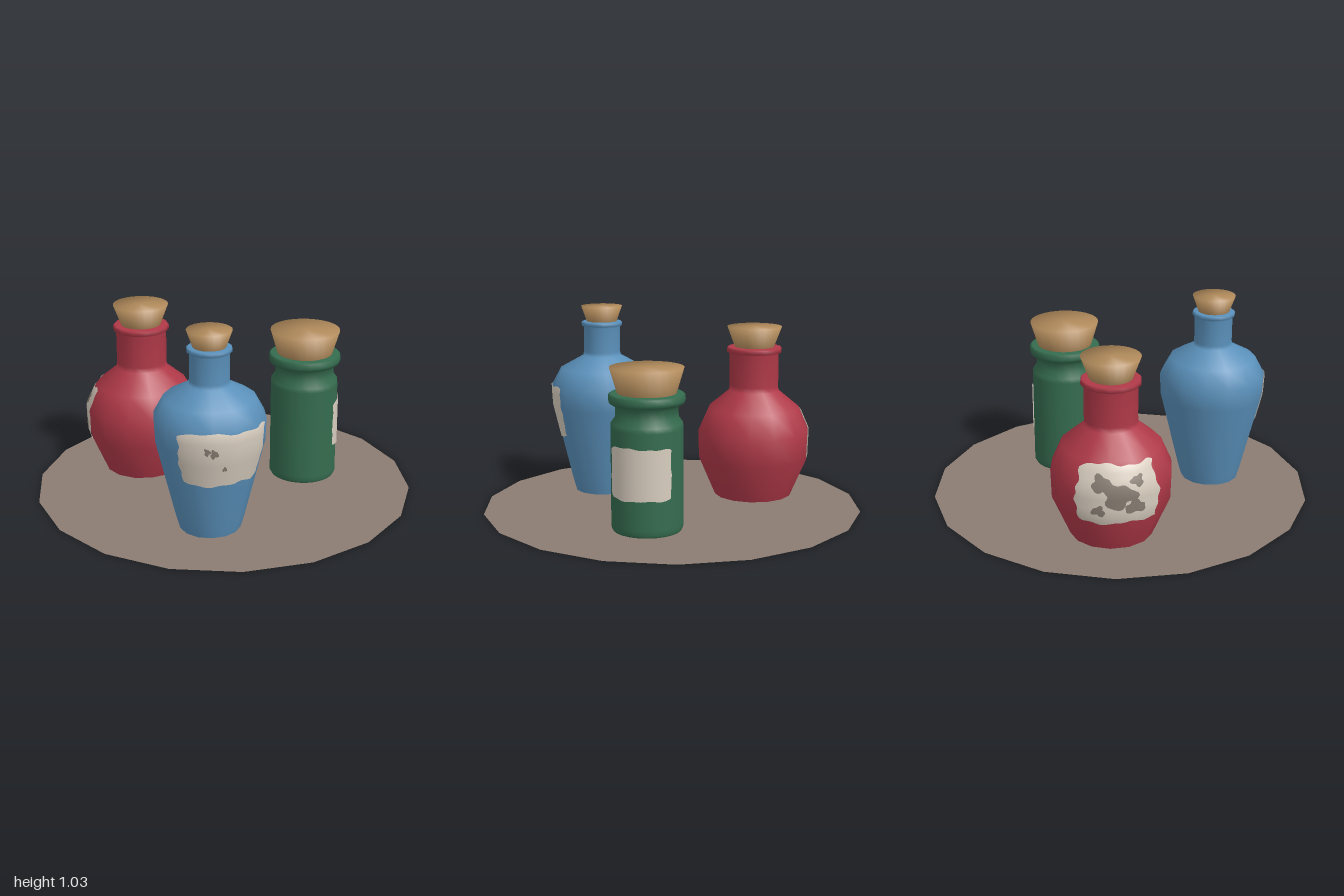
import * as THREE from 'three';

const mat = (name, color) => {
  const m = new THREE.MeshStandardMaterial({ color, side: THREE.DoubleSide });
  m.name = name;
  return m;
};

// Each bottle: lathe profile [radius, y], open at the base, with a flared cork
const BOTTLES = [
  {
    name: 'redFlask', x: -0.505, z: -0.033, sides: 14, phase: Math.PI / 2, colour: 'red',
    profile: [[0.21, 0], [0.3, 0.21], [0.305, 0.36], [0.25, 0.485], [0.136, 0.58], [0.135, 0.61], [0.135, 0.785],
      [0.15, 0.793], [0.15, 0.813], [0.143, 0.82], [0.1, 0.82]],
    cork: [0.105, 0.815, 0.148, 0.93],
    label: { from: -2.14, to: -0.72, bottom: 0.18, top: 0.475, rag: 0.012 },
    stains: [[-1.42, 0.33, 0.3, 0.075], [-1.7, 0.39, 0.2, 0.045], [-1.15, 0.27, 0.2, 0.04], [-1.75, 0.25, 0.13, 0.03], [-1.1, 0.4, 0.13, 0.03]],
  },
  {
    name: 'blueVial', x: 0.152, z: 0.49, sides: 14, phase: 0.05, colour: 'blue',
    profile: [[0.155, 0], [0.175, 0.07], [0.274, 0.48], [0.28, 0.595], [0.228, 0.69], [0.105, 0.758], [0.1, 0.78],
      [0.1, 0.915], [0.112, 0.925], [0.112, 0.94], [0.105, 0.946], [0.075, 0.946]],
    cork: [0.08, 0.94, 0.112, 1.03],
    label: { from: -0.14, to: 1.68, bottom: 0.32, top: 0.6, rag: 0.008 },
    stains: [[0.4, 0.515, 0.06, 0.022], [0.52, 0.505, 0.08, 0.025], [0.72, 0.415, 0.05, 0.015]],
  },
  {
    name: 'greenJar', x: 0.335, z: -0.312, sides: 24, phase: 0, colour: 'green',
    profile: [[0.172, 0], [0.18, 0.015], [0.18, 0.04], [0.18, 0.52], [0.178, 0.545], [0.157, 0.575], [0.155, 0.625],
      [0.187, 0.645], [0.191, 0.66], [0.19, 0.685], [0.18, 0.692], [0.13, 0.692]],
    cork: [0.145, 0.685, 0.185, 0.82],
    label: { from: 1.4, to: 3.3, bottom: 0.185, top: 0.445, rag: 0.005 },
    stains: [],
  },
];

// Radius of a bottle's profile at height y
function radiusAt(profile, y) {
  for (let i = 1; i < profile.length; i++) {
    const [r0, y0] = profile[i - 1], [r1, y1] = profile[i];
    if (y <= y1 && y1 > y0) return r0 + (r1 - r0) * (y - y0) / (y1 - y0);
  }
  return profile.at(-1)[0];
}

// Thin sheet hugging a bottle's facets; place(u, v) gives [angle, height]
function wrapSheet(b, place, nu, nv, offset) {
  const pos = [], nor = [], index = [];
  const step = 2 * Math.PI / b.sides;
  for (let j = 0; j <= nv; j++) {
    for (let i = 0; i <= nu; i++) {
      const [a, y] = place(i / nu, j / nv);
      const local = ((a - b.phase) % step + step) % step - step / 2;
      const r = radiusAt(b.profile, y) * Math.cos(step / 2) / Math.cos(local) + offset;
      pos.push(r * Math.sin(a), y, r * Math.cos(a));
      const slope = (radiusAt(b.profile, y + 0.05) - radiusAt(b.profile, y - 0.05)) / 0.1;
      const n = new THREE.Vector3(Math.sin(a), -slope, Math.cos(a)).normalize();
      nor.push(n.x, n.y, n.z);
      if (i < nu && j < nv) {
        const k = j * (nu + 1) + i, up = k + nu + 1;
        index.push(k, k + 1, up + 1, k, up + 1, up);
      }
    }
  }
  const g = new THREE.BufferGeometry();
  g.setAttribute('position', new THREE.Float32BufferAttribute(pos, 3));
  g.setAttribute('normal', new THREE.Float32BufferAttribute(nor, 3));
  g.setIndex(index);
  return g;
}

// Smooth irregular wobble for torn paper edges
const wobble = (t, seed) => 0.6 * Math.sin(t * 9 + seed) + 0.4 * Math.sin(t * 23 + seed * 2.3);

function labelGeometry(b) {
  const { from, to, bottom, top, rag } = b.label;
  return wrapSheet(b, (u, v) => {
    const left = from + rag * 4 * wobble(v, 1), right = to + rag * 4 * wobble(v, 4);
    // Corners are slightly worn
    const worn = 0.012 * Math.pow(Math.abs(2 * u - 1), 8);
    const low = bottom + worn + rag * wobble(u, 2), high = top - worn + rag * wobble(u, 5);
    return [left + (right - left) * u, low + (high - low) * v];
  }, 40, 20, 0.006);
}

function stainGeometry(b, [a, y, wide, tall], seed) {
  return wrapSheet(b, (u, v) => {
    const t = v * 2 * Math.PI;
    const r = u * (0.85 + 0.18 * Math.sin(3 * t + seed) + 0.12 * Math.sin(5 * t + seed * 2));
    return [a + wide * r * Math.cos(t), y + tall * r * Math.sin(t)];
  }, 5, 28, 0.0085 + seed * 0.0001);
}

export function createModel() {
  const materials = {
    red: mat('red glass', 0xb03948),
    blue: mat('blue glass', 0x5a90ba),
    green: mat('green glass', 0x356c4f),
    cork: mat('cork', 0xb08a5b),
    paper: mat('label paper', 0xd8cdbf),
    stain: mat('label stain', 0x877d72),
    base: mat('base brown', 0x8b7c71),
  };
  const model = new THREE.Group();
  model.name = 'bottleSet';
  const add = (parent, name, geometry, material) => {
    const mesh = new THREE.Mesh(geometry, material);
    mesh.name = name;
    parent.add(mesh);
    return mesh;
  };
  const lathe = (points, sides, phase) =>
    new THREE.LatheGeometry(points.map(([r, y]) => new THREE.Vector2(r, y)), sides, phase);

  // Flat many-sided base with an opening under each bottle
  const ring = (n, r, cx, cy, phase) => Array.from({ length: n }, (_, i) => {
    const a = phase + i * 2 * Math.PI / n;
    return new THREE.Vector2(cx + r * Math.sin(a), cy - r * Math.cos(a));
  });
  const outline = new THREE.Shape(ring(18, 1, 0, 0, Math.PI / 2));
  for (const b of BOTTLES) {
    outline.holes.push(new THREE.Path(ring(b.sides, b.profile[0][0], b.x, -b.z, b.phase)));
  }
  add(model, 'base', new THREE.ShapeGeometry(outline).rotateX(-Math.PI / 2), materials.base);

  for (const b of BOTTLES) {
    const group = new THREE.Group();
    group.name = b.name;
    group.position.set(b.x, 0, b.z);
    add(group, 'glass', lathe(b.profile, b.sides, b.phase), materials[b.colour]);

    // Flared cork with a softly shaded flat top
    const [r0, y0, r1, y1] = b.cork;
    add(group, 'cork', lathe([[r0, y0], [r1, y1], [0, y1]], 28, 0), materials.cork);

    add(group, 'label', labelGeometry(b), materials.paper);
    b.stains.forEach((s, i) => add(group, 'labelStain', stainGeometry(b, s, i + 1), materials.stain));
    model.add(group);
  }
  return model;
}
